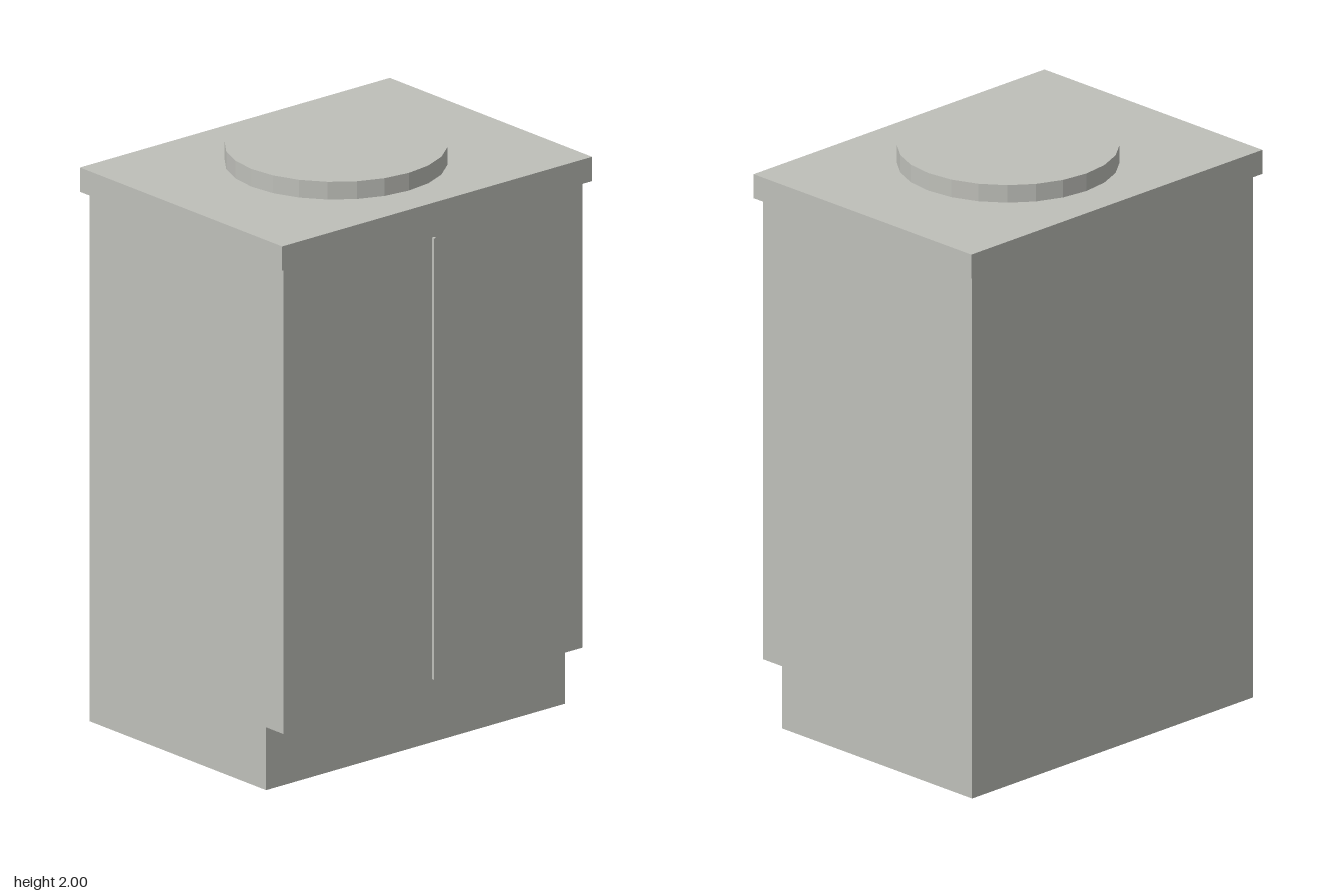
import * as THREE from 'three';

export function createModel() {
  const model = new THREE.Group();
  model.name = 'cabinet';
  const grey = new THREE.MeshStandardMaterial({ color: 0xbebfb9 });
  grey.name = 'warm grey';
  const disc = grey.clone();
  disc.flatShading = true;
  disc.name = 'warm grey faceted';

  const add = (name, geometry, x, y, z, material = grey) => {
    const mesh = new THREE.Mesh(geometry, material);
    mesh.name = name;
    mesh.position.set(x, y, z);
    model.add(mesh);
    return mesh;
  };

  // Cabinet body: side profile (z, y) with a recessed toe kick, extruded across the width
  const width = 1.3;
  const profile = new THREE.Shape([
    [-0.49, 0], [0.402, 0], [0.402, 0.22], [0.49, 0.22], [0.49, 1.853], [-0.49, 1.853],
  ].map(([z, y]) => new THREE.Vector2(z, y)));
  const body = new THREE.ExtrudeGeometry(profile, { depth: width, bevelEnabled: false });
  body.rotateY(-Math.PI / 2);
  add('body', body, width / 2, 0, 0);

  // Raised strip between the two doors
  add('doorDivider', new THREE.BoxGeometry(0.01, 1.545, 0.02), 0, 1.035, 0.491);

  // Overhanging worktop
  add('worktop', new THREE.BoxGeometry(1.348, 0.085, 1.022), 0, 1.8955, 0);

  // Faceted round plate on the worktop
  add('roundPlate', new THREE.CylinderGeometry(0.368, 0.368, 0.064, 24), 0, 1.968, 0, disc);

  return model;
}
